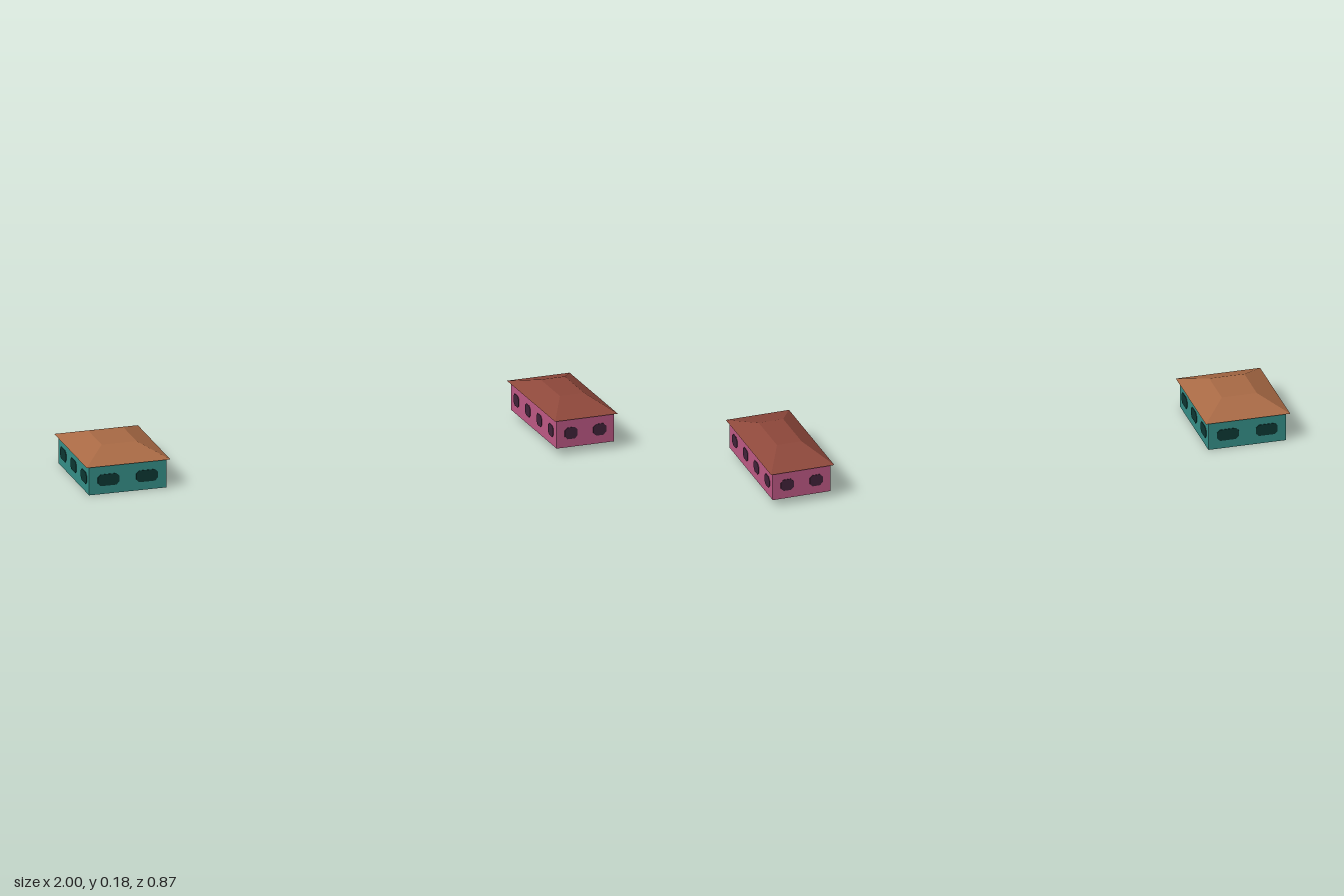
import * as THREE from 'three';

const mat = (name, color, double) => {
  const m = new THREE.MeshStandardMaterial({ color });
  m.name = name;
  if (double) m.side = THREE.DoubleSide;
  return m;
};

// Closed hipped roof: a box whose top is pulled in to a flat deck
function roofGeometry(w, d, h, topW, topD) {
  const g = new THREE.BoxGeometry(w, h, d);
  const p = g.attributes.position;
  for (let i = 0; i < p.count; i++) {
    if (p.getY(i) > 0) p.setXYZ(i, Math.sign(p.getX(i)) * topW / 2, h / 2, Math.sign(p.getZ(i)) * topD / 2);
  }
  g.computeVertexNormals();
  return g;
}

// Thin window plate with cut corners, centred on the wall plane
function windowGeometry(w, h) {
  const x = w / 2, y = h / 2, c = h * 0.25, t = 0.004;
  const s = new THREE.Shape([
    [-x + c, -y], [x - c, -y], [x, -y + c], [x, y - c],
    [x - c, y], [-x + c, y], [-x, y - c], [-x, -y + c],
  ].map(([a, b]) => new THREE.Vector2(a, b)));
  return new THREE.ExtrudeGeometry(s, { depth: t, bevelEnabled: false }).translate(0, 0, -t / 2);
}

function house(o) {
  const g = new THREE.Group();
  g.name = o.name;
  const add = (parent, name, geo, material, x, y, z) => {
    const m = new THREE.Mesh(geo, material);
    m.name = name;
    m.position.set(x, y, z);
    parent.add(m);
  };

  // Four walls, open underneath, each with a row of windows
  const sides = ['front', 'left', 'back', 'right'];
  sides.forEach((side, i) => {
    const long = i % 2 === 1;
    const len = long ? o.d : o.w;
    const off = (long ? o.w : o.d) / 2;
    const n = long ? o.sideWindows : 2;
    const wall = new THREE.Group();
    wall.name = side + 'Side';
    wall.rotation.y = i * Math.PI / 2;
    add(wall, side + 'Wall', new THREE.PlaneGeometry(len, o.h), o.wallMat, 0, o.h / 2, off);
    const pane = windowGeometry(len / n * o.windowShare, 0.044);
    for (let k = 0; k < n; k++) {
      add(wall, side + 'Window', pane, o.windowMat, ((k + 0.5) / n - 0.5) * len, 0.053, off);
    }
    g.add(wall);
  });

  // Overhanging roof
  const rh = 0.042;
  add(g, 'roof', roofGeometry(o.roofW, o.roofD, rh, o.topW, o.topD), o.roofMat, 0, o.h + rh / 2, 0);

  g.position.set(o.x, o.y, o.z);
  g.rotation.y = o.turn;
  return g;
}

export function createModel() {
  const model = new THREE.Group();
  model.name = 'houses';
  model.add(house({
    name: 'tealHouse', x: -0.804, y: 0, z: -0.212, turn: -0.208,
    w: 0.292, d: 0.371, h: 0.109, sideWindows: 3, windowShare: 0.56,
    roofW: 0.317, roofD: 0.392, topW: 0.132, topD: 0.163,
    wallMat: mat('tealWall', 0x36918a, true),
    roofMat: mat('tanRoof', 0xa96a45),
    windowMat: mat('darkTealWindow', 0x0d3834),
  }));
  model.add(house({
    name: 'pinkHouse', x: 0.843, y: 0.026, z: 0.177, turn: -0.142,
    w: 0.222, d: 0.458, h: 0.108, sideWindows: 4, windowShare: 0.45,
    roofW: 0.243, roofD: 0.481, topW: 0.094, topD: 0.194,
    wallMat: mat('pinkWall', 0xc05a86, true),
    roofMat: mat('redRoof', 0x8e483b),
    windowMat: mat('darkPlumWindow', 0x42233a),
  }));
  return model;
}
